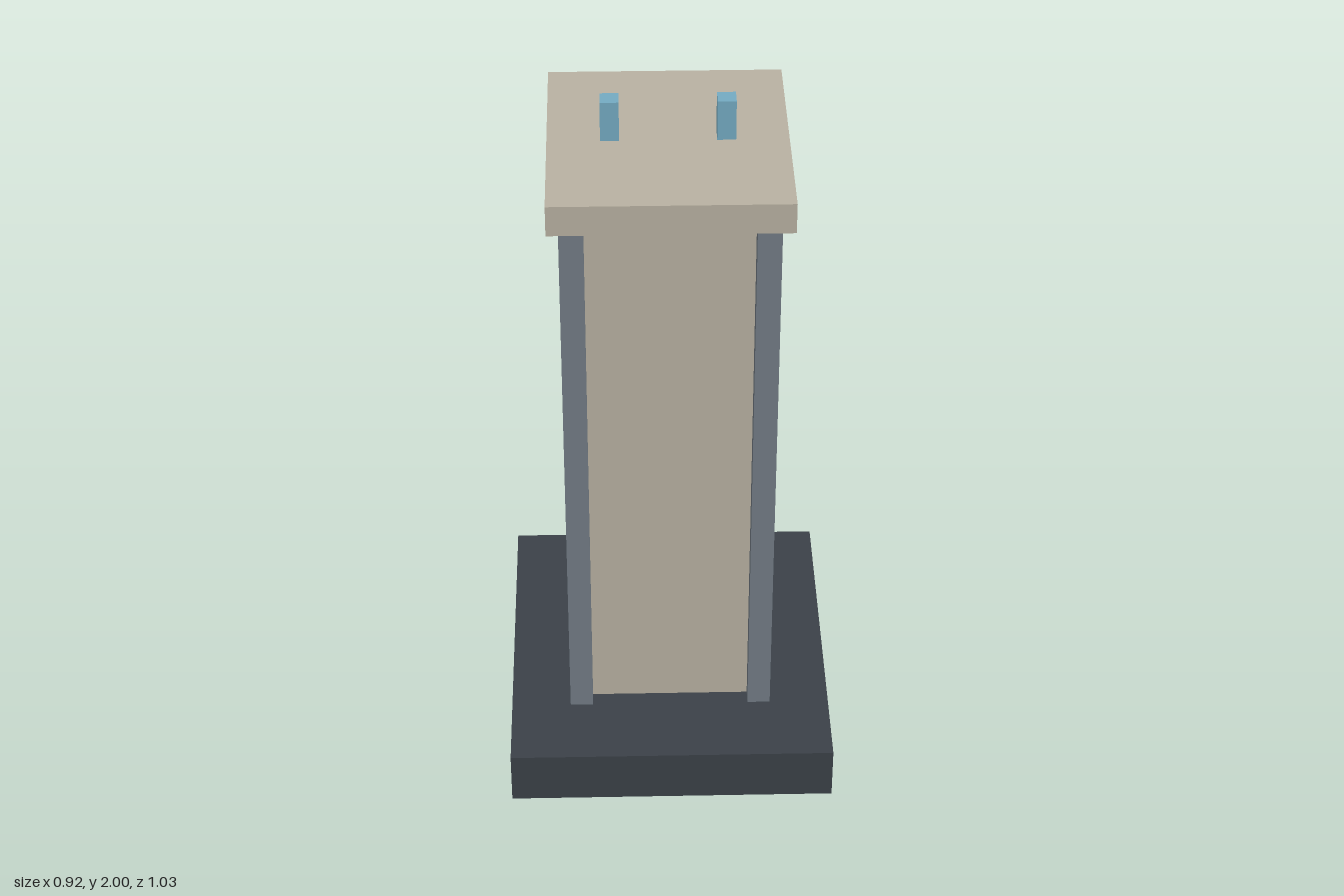
import * as THREE from 'three';

const material = (color) => new THREE.MeshStandardMaterial({ color });

export function createModel() {
  const model = new THREE.Group();
  model.name = 'slattedTower';

  const stone = material(0xb8b1a2);
  const steel = material(0x737c85);
  const dark = material(0x3b4148);
  const black = material(0x2f343a);
  const rust = material(0x9c4a2c);
  const blue = material(0x74abc2);

  // Box given by its extents along each axis
  const box = (name, mat, [x0, x1], [y0, y1], [z0, z1]) => {
    const mesh = new THREE.Mesh(new THREE.BoxGeometry(x1 - x0, y1 - y0, z1 - z0), mat);
    mesh.position.set((x0 + x1) / 2, (y0 + y1) / 2, (z0 + z1) / 2);
    mesh.name = name;
    model.add(mesh);
    return mesh;
  };

  // Plinth, core and overhanging roof slab
  box('base', dark, [-0.46, 0.46], [0, 0.157], [-0.514, 0.514]);
  box('core', stone, [-0.225, 0.225], [0.157, 1.8], [-0.245, 0.245]);
  box('roof', stone, [-0.32, 0.32], [1.8, 1.886], [-0.358, 0.358]);

  // Side walls standing proud of the core, and the posts on the roof
  for (const [side, s] of [['left', 1], ['right', -1]]) {
    const wall = box(side + 'Wall', steel, [-0.0325, 0.0325], [0.157, 1.8], [-0.29, 0.29]);
    wall.position.x = s * 0.2575;
    const post = box(side + 'Post', blue, [-0.025, 0.025], [1.886, 2], [-0.026, 0.026]);
    post.position.x = s * 0.154;
  }

  // Back panel with a ladder of slats
  box('backPanel', black, [-0.16, 0.16], [0.225, 1.765], [-0.295, -0.245]);
  for (let i = 0; i < 15; i++) {
    const y = 0.262 + i * 0.1028;
    box('slat', steel, [-0.16, 0.16], [y - 0.009, y + 0.009], [-0.325, -0.29]);
  }

  // Rust-coloured bar across the upper slats
  box('crossBar', rust, [-0.205, 0.205], [1.575, 1.648], [-0.33, -0.307]);

  return model;
}
